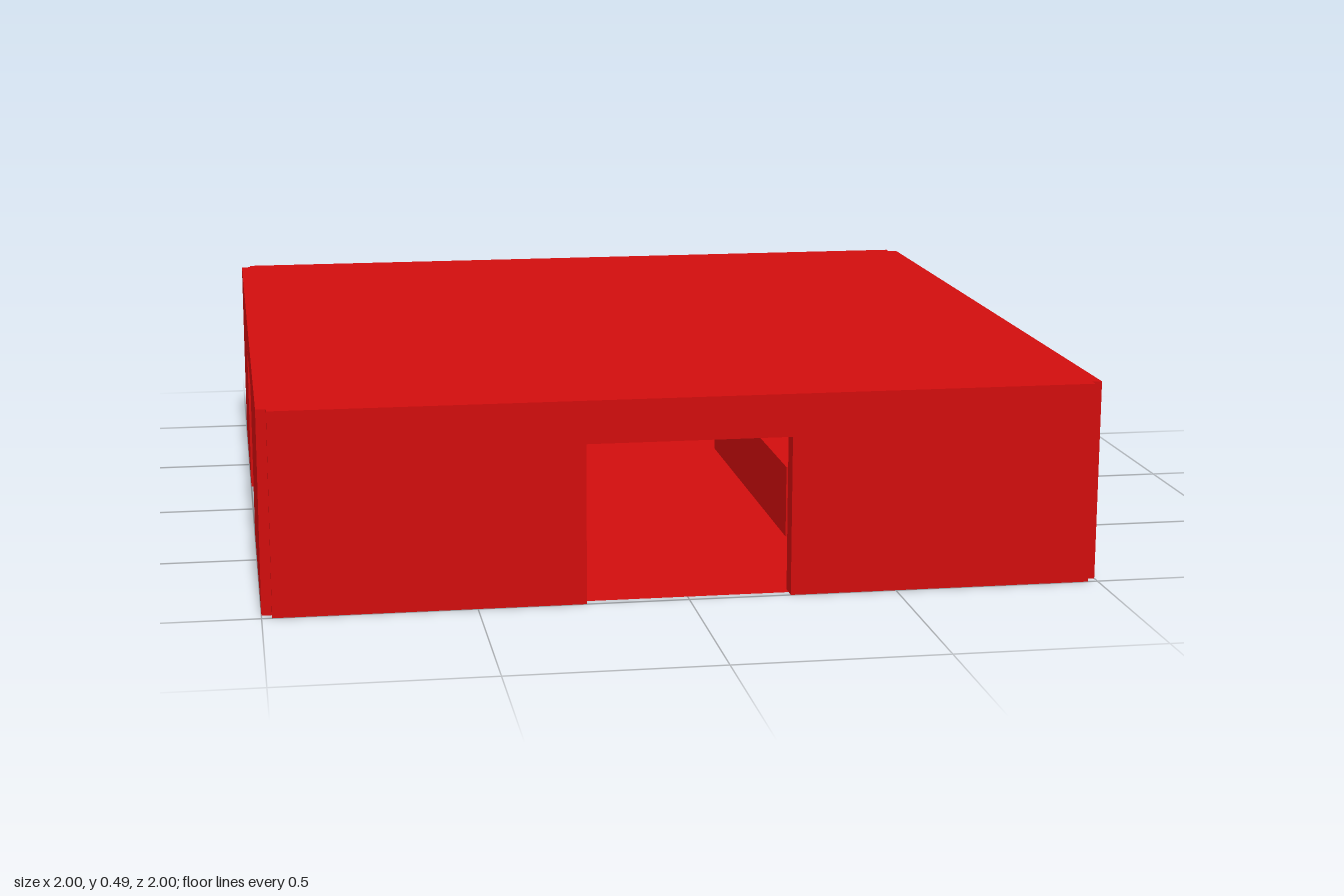
import * as THREE from 'three';

const HALF = 0.976;      // wall centre line
const THICK = 0.048;     // wall thickness
const HEIGHT = 0.488;
const DOOR_HALF = 0.244;
const DOOR_HEIGHT = 0.385;

export function createModel() {
  const model = new THREE.Group();
  model.name = 'building';
  const red = new THREE.MeshStandardMaterial({ color: 0xd00d0d, side: THREE.DoubleSide });
  red.name = 'red';

  const add = (name, geometry) => {
    const mesh = new THREE.Mesh(geometry, red);
    mesh.name = name;
    model.add(mesh);
    return mesh;
  };

  // Four walls, each with a central doorway open to the ground
  const outline = new THREE.Shape([
    [-HALF, 0], [-DOOR_HALF, 0], [-DOOR_HALF, DOOR_HEIGHT], [DOOR_HALF, DOOR_HEIGHT],
    [DOOR_HALF, 0], [HALF, 0], [HALF, HEIGHT], [-HALF, HEIGHT],
  ].map(([x, y]) => new THREE.Vector2(x, y)));
  const wall = new THREE.ExtrudeGeometry(outline, { depth: THICK, bevelEnabled: false });
  wall.translate(0, 0, HALF - THICK / 2);
  ['frontWall', 'leftWall', 'backWall', 'rightWall'].forEach((name, i) => {
    add(name, wall).rotation.y = i * Math.PI / 2;
  });

  // Flat roof and floor sheets
  const sheet = new THREE.PlaneGeometry(2 * HALF, 2 * HALF).rotateX(-Math.PI / 2);
  add('roof', sheet).position.y = HEIGHT;
  add('floor', sheet);

  // Low counter inside, along the +x side
  add('counter', new THREE.BoxGeometry(0.39, 0.183, 0.976)).position.set(0.537, 0.0915, 0);

  return model;
}
